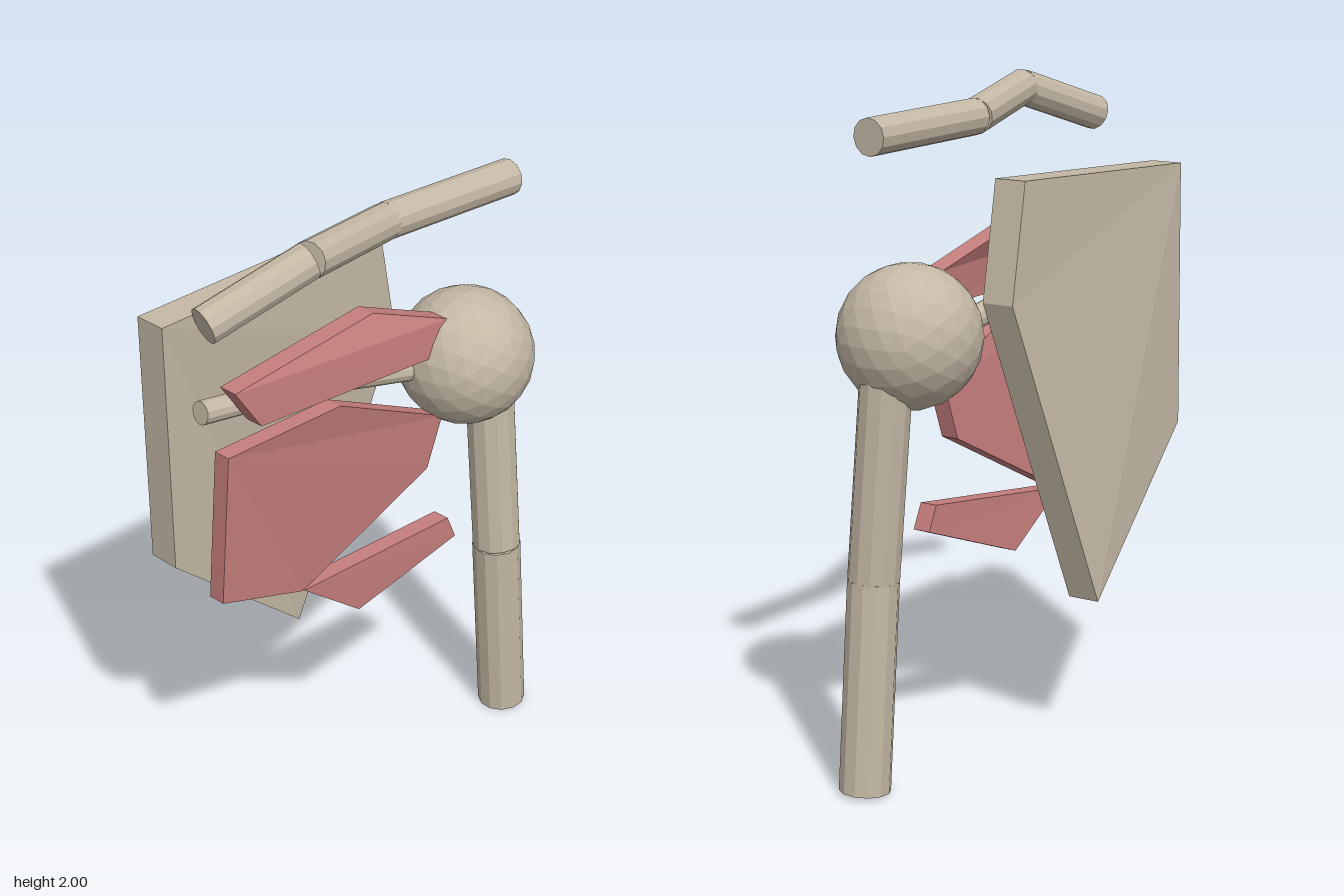
import * as THREE from 'three';

const bone = new THREE.MeshStandardMaterial({ color: 0xc4b8a5 });
bone.name = 'bone';
bone.flatShading = true;
const muscle = new THREE.MeshStandardMaterial({ color: 0xc47e7c });
muscle.name = 'muscle';
muscle.flatShading = true;

// Chain of straight capped cylinders through the given points
function boneChain(name, radius, points) {
  const group = new THREE.Group();
  group.name = name;
  const pts = points.map((p) => new THREE.Vector3(...p));
  for (let i = 0; i < pts.length - 1; i++) {
    const dir = pts[i + 1].clone().sub(pts[i]);
    const mesh = new THREE.Mesh(new THREE.CylinderGeometry(radius, radius, dir.length(), 12), bone);
    mesh.name = name + 'Segment';
    mesh.position.copy(pts[i]).addScaledVector(dir, 0.5);
    mesh.quaternion.setFromUnitVectors(new THREE.Vector3(0, 1, 0), dir.normalize());
    group.add(mesh);
  }
  return group;
}

// Slab: a slightly bent outline (clockwise seen from the front) pushed back in z
function slab(name, material, depth, outline) {
  const n = outline.length;
  const verts = [...outline, ...outline.map(([x, y, z]) => [x, y, z - depth])];
  const index = [];
  for (let i = 1; i < n - 1; i++) {
    index.push(0, i + 1, i, n, n + i, n + i + 1);
  }
  for (let i = 0; i < n; i++) {
    const j = (i + 1) % n;
    index.push(i, j, n + j, i, n + j, n + i);
  }
  const indexed = new THREE.BufferGeometry();
  indexed.setAttribute('position', new THREE.Float32BufferAttribute(verts.flat(), 3));
  indexed.setIndex(index);
  const geo = indexed.toNonIndexed();
  geo.computeVertexNormals();
  const mesh = new THREE.Mesh(geo, material);
  mesh.name = name;
  return mesh;
}

export function createModel() {
  const model = new THREE.Group();
  model.name = 'shoulder';

  // Collar bone above
  model.add(boneChain('collarBone', 0.054, [
    [-0.655, 1.845, 0.115], [-0.34, 1.948, 0.185], [0.05, 1.902, 0.095], [0.53, 1.89, 0.123],
  ]));

  // Thin ridge bone of the shoulder blade
  model.add(boneChain('bladeSpine', 0.035, [
    [-0.525, 1.463, -0.057], [-0.13, 1.41, -0.027], [0.32, 1.312, 0.025],
  ]));

  // Upper arm: ball and shaft
  const ball = new THREE.Mesh(new THREE.IcosahedronGeometry(0.21, 3), bone);
  ball.name = 'armBall';
  ball.position.set(0.43, 1.325, 0.063);
  model.add(ball);
  model.add(boneChain('armShaft', 0.076, [
    [0.532, 1.23, 0.072], [0.543, 0.63, 0.118], [0.59, 0.006, 0.125],
  ]));

  // Shoulder blade
  model.add(slab('shoulderBlade', bone, 0.1, [
    [-0.585, 1.72, -0.133], [0.21, 1.755, -0.08], [0.275, 1.41, -0.08],
    [-0.04, 0.475, -0.178], [-0.555, 0.92, -0.155],
  ]));

  // Muscles between blade and arm
  model.add(slab('upperMuscle', muscle, 0.06, [
    [-0.485, 1.545, 0.043], [0.06, 1.59, 0.037], [0.32, 1.495, 0.09],
    [0.34, 1.39, 0.1], [-0.4, 1.415, 0.055],
  ]));
  model.add(slab('middleMuscle', muscle, 0.055, [
    [-0.5, 1.34, 0.025], [-0.11, 1.37, 0.075], [0.31, 1.17, 0.085],
    [0.265, 1.0, 0.07], [-0.205, 0.75, 0.01], [-0.515, 0.85, 0],
  ]));
  model.add(slab('lowerMuscle', muscle, 0.055, [
    [-0.205, 0.755, 0.016], [0.325, 0.81, 0.105], [0.355, 0.735, 0.11], [0, 0.6, 0.043],
  ]));

  return model;
}
